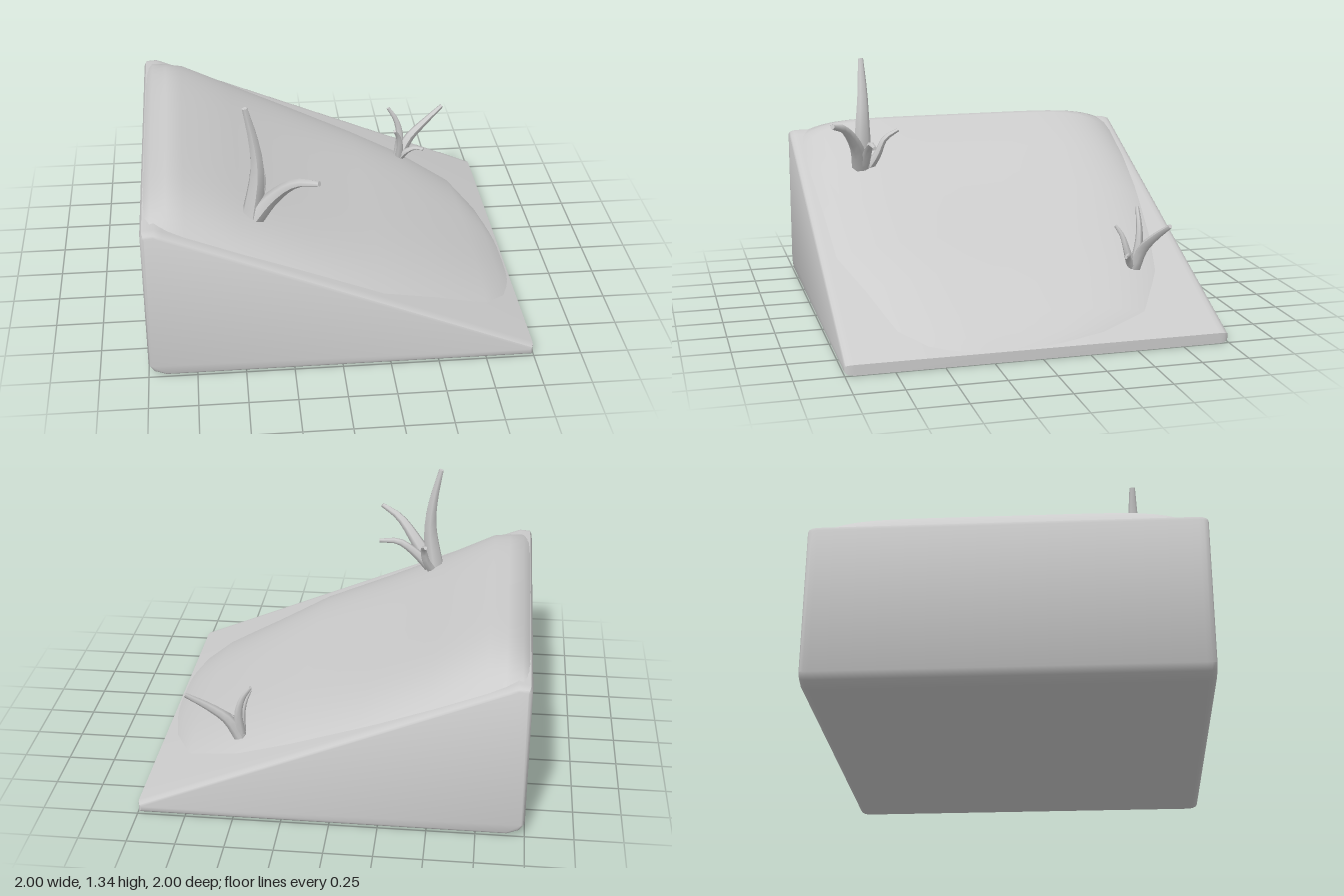
import * as THREE from 'three';
import { toCreasedNormals } from 'three/addons/utils/BufferGeometryUtils.js';

const grey = new THREE.MeshStandardMaterial({ color: 0xcccccc });
const greyThin = new THREE.MeshStandardMaterial({ color: 0xcccccc, side: THREE.DoubleSide });

// Height of the plain wedge slope at x
const slopeY = (x) => Math.min(0.85, 0.055 + (1 - x) * 0.415);

// Solid ramp with softened edges
function makeWedge() {
  const shape = new THREE.Shape([
    [-1, 0.06], [-0.975, 0.025], [-0.91, 0], [1, 0], [1, 0.055],
    [-0.89, 0.84], [-0.93, 0.855], [-0.99, 0.85], [-1, 0.83],
  ].map(([x, y]) => new THREE.Vector2(x, y)));
  const geo = new THREE.ExtrudeGeometry(shape, {
    depth: 1.9, bevelEnabled: true, bevelThickness: 0.05, bevelSize: 0.02,
    bevelOffset: -0.02, bevelSegments: 3,
  });
  geo.translate(0, 0, -0.95);
  const mesh = new THREE.Mesh(toCreasedNormals(geo, 0.75), grey);
  mesh.name = 'wedge';
  return mesh;
}

// Swollen cover lying on the slope: rows of [x, crest height, back z, front z]
function makeMound() {
  const rows = [
    [-1, 0.83, -0.92, 0.85], [-0.95, 0.91, -0.95, 0.92], [-0.87, 0.925, -0.96, 0.94],
    [-0.78, 0.93, -0.965, 0.95], [-0.5, 0.785, -0.96, 0.95], [-0.15, 0.605, -0.93, 0.94],
    [0.22, 0.455, -0.87, 0.93], [0.5, 0.34, -0.8, 0.82], [0.8, 0.185, -0.64, 0.73],
    [0.92, 0.12, -0.38, 0.6], [1, 0.05, -0.05, 0.42],
  ];
  const n = 24, pos = [], index = [];
  rows.forEach(([x, crest, back, front], i) => {
    const edge = Math.min(slopeY(x) - 0.008, crest);
    const power = THREE.MathUtils.lerp(7, 3, (x + 1) / 2);
    for (let j = 0; j <= n; j++) {
      const t = Math.sin((j / n - 0.5) * Math.PI);
      const y = edge + (crest - edge) * (1 - Math.abs(t) ** power);
      pos.push(x, y, THREE.MathUtils.lerp(back, front, (t + 1) / 2));
      if (i && j) {
        const d = i * (n + 1) + j, c = d - 1, b = d - n - 1, a = b - 1;
        index.push(a, b, c, b, d, c);
      }
    }
  });
  const geo = new THREE.BufferGeometry();
  geo.setAttribute('position', new THREE.Float32BufferAttribute(pos, 3));
  geo.setIndex(index);
  geo.computeVertexNormals();
  const mesh = new THREE.Mesh(geo, greyThin);
  mesh.name = 'mound';
  return mesh;
}

// Bent grass blade: a tube tapering from r0 to r1, closed at the tip
function makeBlade(points, r0, r1) {
  const blade = new THREE.Group();
  blade.name = 'blade';
  const curve = new THREE.CatmullRomCurve3(points.map((p) => new THREE.Vector3(...p)));
  const steps = 9, sides = 6;
  const geo = new THREE.TubeGeometry(curve, steps, 1, sides);
  const pos = geo.attributes.position, v = new THREE.Vector3();
  for (let i = 0; i <= steps; i++) {
    const centre = curve.getPointAt(i / steps);
    const r = THREE.MathUtils.lerp(r0, r1, i / steps);
    for (let j = 0; j <= sides; j++) {
      const k = i * (sides + 1) + j;
      v.fromBufferAttribute(pos, k).sub(centre).multiplyScalar(r).add(centre);
      pos.setXYZ(k, v.x, v.y, v.z);
    }
  }
  geo.computeVertexNormals();
  const tube = new THREE.Mesh(geo, greyThin);
  tube.name = 'bladeStem';
  const tip = new THREE.Mesh(new THREE.CircleGeometry(r1, sides), greyThin);
  tip.name = 'bladeTip';
  tip.position.copy(curve.getPointAt(1));
  tip.quaternion.setFromUnitVectors(new THREE.Vector3(0, 0, 1), curve.getTangentAt(1));
  blade.add(tube, tip);
  return blade;
}

function makeTuft(name, blades) {
  const tuft = new THREE.Group();
  tuft.name = name;
  blades.forEach(([r0, r1, ...points]) => tuft.add(makeBlade(points, r0, r1)));
  return tuft;
}

export function createModel() {
  const model = new THREE.Group();
  model.name = 'grassyRamp';
  model.add(makeWedge(), makeMound());

  // Large tuft near the top of the ramp
  model.add(makeTuft('largeTuft', [
    [0.058, 0.015, [-0.44, 0.71, 0.65], [-0.405, 0.98, 0.65], [-0.42, 1.15, 0.645], [-0.46, 1.34, 0.645]],
    [0.05, 0.014, [-0.43, 0.71, 0.66], [-0.33, 0.86, 0.7], [-0.22, 0.98, 0.78], [-0.11, 1.02, 0.865]],
    [0.036, 0.011, [-0.43, 0.71, 0.65], [-0.3, 0.84, 0.64], [-0.22, 0.89, 0.637], [-0.11, 0.89, 0.635]],
    [0.03, 0.011, [-0.43, 0.71, 0.62], [-0.39, 0.8, 0.57], [-0.375, 0.89, 0.53], [-0.39, 0.935, 0.45]],
  ]));

  // Small tuft near the foot of the ramp
  model.add(makeTuft('smallTuft', [
    [0.036, 0.012, [0.51, 0.3, -0.66], [0.57, 0.41, -0.68], [0.67, 0.5, -0.71], [0.775, 0.58, -0.75]],
    [0.03, 0.01, [0.505, 0.3, -0.66], [0.51, 0.45, -0.68], [0.485, 0.54, -0.685], [0.44, 0.61, -0.69]],
    [0.026, 0.009, [0.505, 0.3, -0.64], [0.505, 0.4, -0.61], [0.49, 0.47, -0.59], [0.465, 0.52, -0.56]],
    [0.022, 0.008, [0.51, 0.3, -0.64], [0.55, 0.36, -0.605], [0.59, 0.385, -0.59], [0.64, 0.39, -0.56]],
  ]));
  return model;
}
